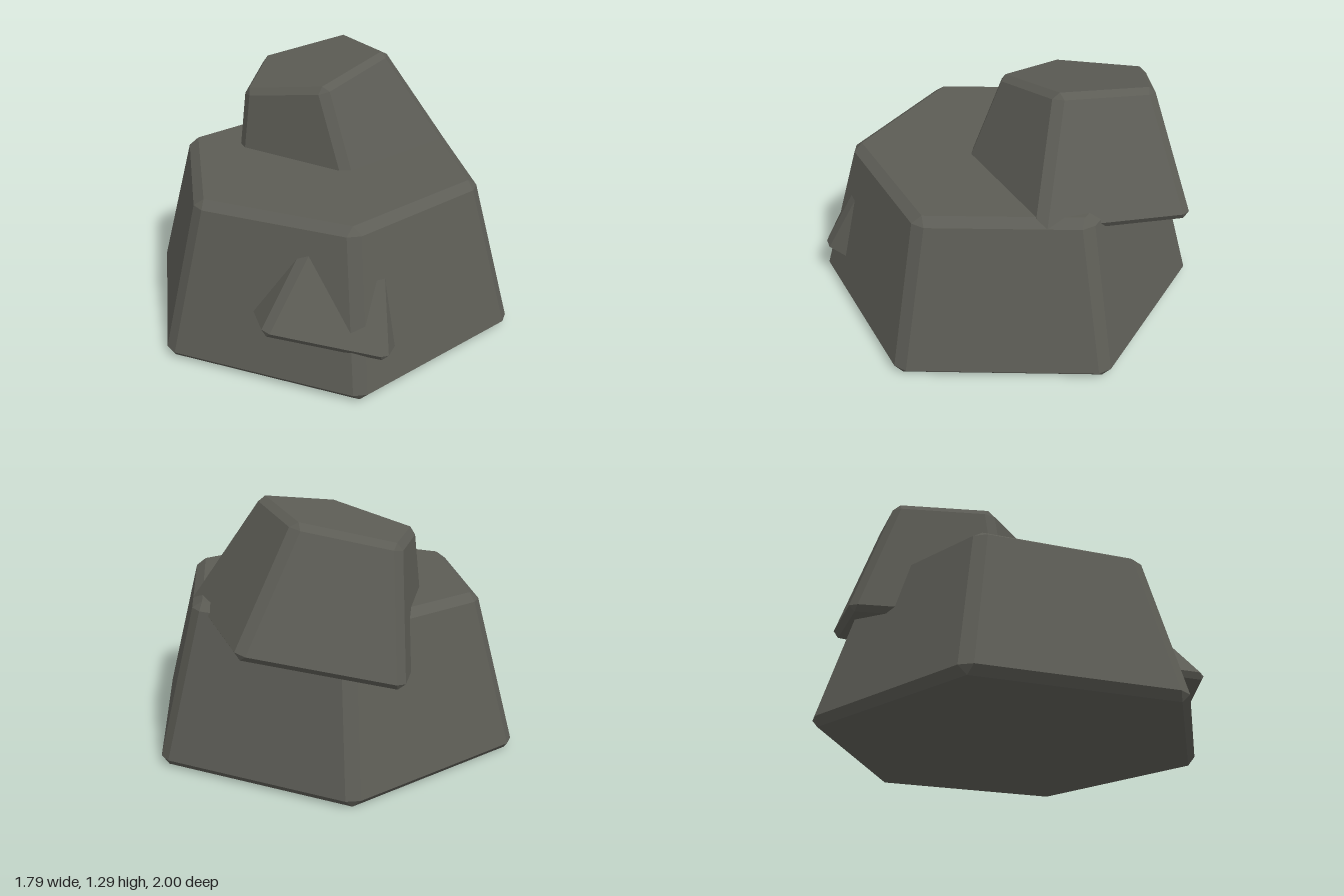
import * as THREE from 'three';
import { ConvexGeometry } from 'three/addons/geometries/ConvexGeometry.js';

// Regular ring of corners; a chamfer splits each corner into two points
function ring(sides, radius, y, turn, chamfer) {
  const points = [];
  for (let i = 0; i < sides; i++) {
    const a = turn + (i / sides) * Math.PI * 2;
    const r = radius - chamfer * Math.tan(Math.PI / sides);
    for (const s of chamfer ? [-chamfer, chamfer] : [0]) {
      points.push(new THREE.Vector3(
        r * Math.cos(a) - s * Math.sin(a), y, r * Math.sin(a) + s * Math.cos(a)));
    }
  }
  return points;
}

// Tapered stone with bevelled rims and corners, leaning along "up"
function stone(name, material, { sides, turn, chamfer, rings, position, up }) {
  const last = rings.length - 1;
  const points = rings.flatMap(([radius, y], i) =>
    ring(sides, radius, y, THREE.MathUtils.degToRad(turn), i === 0 || i === last ? 0 : chamfer));
  const mesh = new THREE.Mesh(new ConvexGeometry(points), material);
  mesh.name = name;
  mesh.position.set(...position);
  mesh.quaternion.setFromUnitVectors(
    new THREE.Vector3(0, 1, 0), new THREE.Vector3(...up).normalize());
  return mesh;
}

export function createModel() {
  const group = new THREE.Group();
  group.name = 'rockPile';
  const rock = new THREE.MeshStandardMaterial({ color: 0x5c5c55 });
  rock.name = 'dark stone';

  // Wide hexagonal boulder on the ground
  group.add(stone('baseBoulder', rock, {
    sides: 6, turn: 90, chamfer: 0.035,
    rings: [[0.98, 0], [1.022, 0.04], [0.814, 0.77], [0.757, 0.805]],
    position: [0.005, 0, 0], up: [0, 1, 0],
  }));

  // Tilted five-sided boulder on top
  group.add(stone('upperBoulder', rock, {
    sides: 5, turn: 31, chamfer: 0.03,
    rings: [[0.61, 0], [0.645, 0.03], [0.425, 0.585], [0.383, 0.615]],
    position: [-0.26, 0.605, -0.3], up: [-0.12, 1, 0.205],
  }));

  // Small five-sided rock sunk into the front left corner
  group.add(stone('sideRock', rock, {
    sides: 5, turn: 5, chamfer: 0.025,
    rings: [[0.465, 0], [0.495, 0.027], [0.27, 0.5], [0.225, 0.525]],
    position: [0.43, 0.21, 0.35], up: [0.039, 1, -0.253],
  }));

  return group;
}
